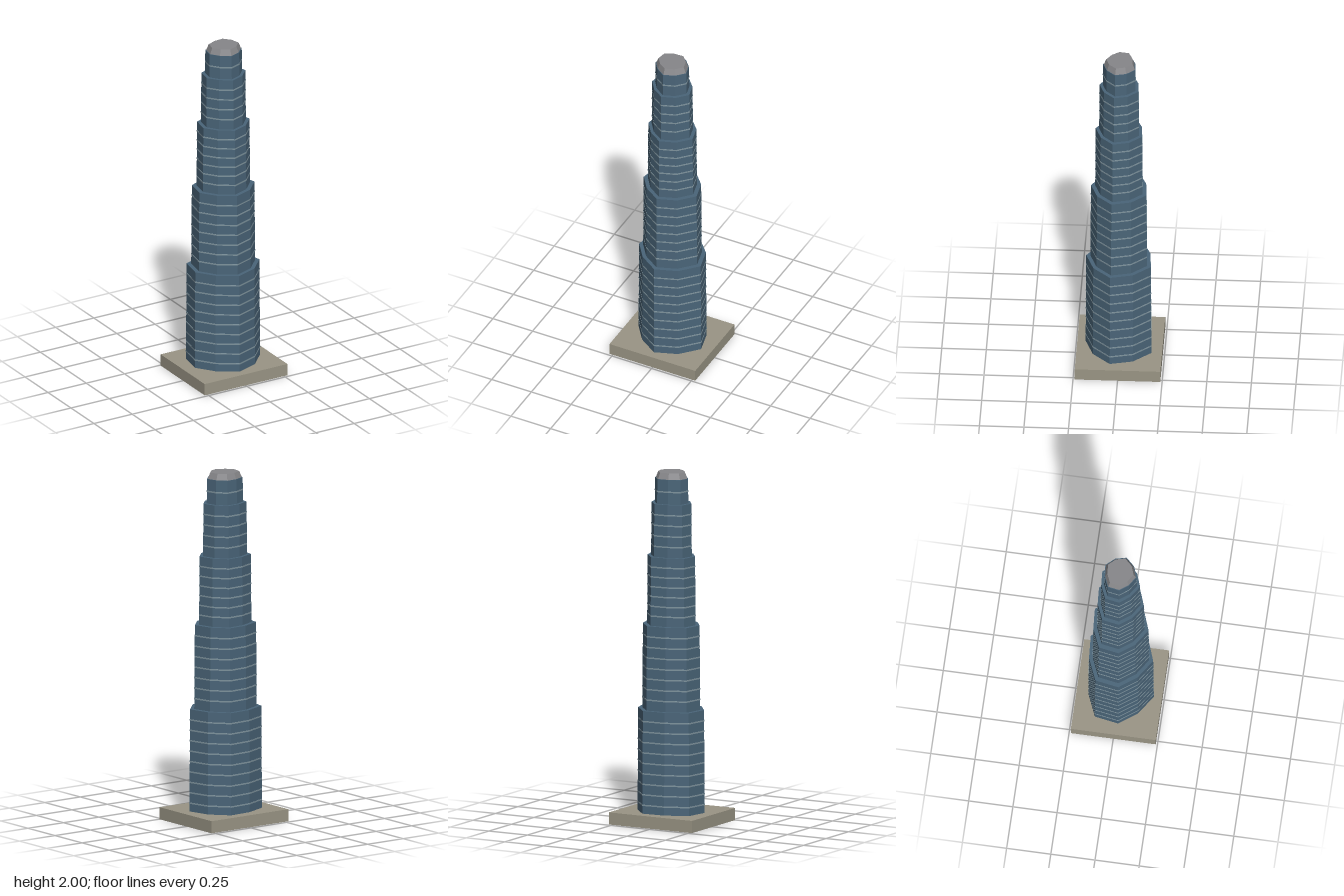
import * as THREE from 'three';

// Irregular nine-sided footprint as [x, z], clockwise seen from above
const FOOTPRINT = [
  [0.087, -0.181], [0.176, -0.082], [0.208, 0.047], [0.114, 0.147], [-0.015, 0.194],
  [-0.127, 0.12], [-0.202, 0.018], [-0.179, -0.117], [-0.05, -0.172],
];

// Closed prism over the footprint, scaled at the bottom and the top
function prism(bottomScale, topScale, y0, y1) {
  const n = FOOTPRINT.length;
  const at = (i, s, y) => [FOOTPRINT[i % n][0] * s, y, FOOTPRINT[i % n][1] * s];
  const p = [];
  for (let i = 0; i < n; i++) {
    const a0 = at(i, bottomScale, y0), b0 = at(i + 1, bottomScale, y0);
    const a1 = at(i, topScale, y1), b1 = at(i + 1, topScale, y1);
    p.push(...a0, ...a1, ...b0, ...b0, ...a1, ...b1); // wall
    p.push(0, y1, 0, ...b1, ...a1); // top cap
    p.push(0, y0, 0, ...a0, ...b0); // bottom cap
  }
  const geometry = new THREE.BufferGeometry();
  geometry.setAttribute('position', new THREE.Float32BufferAttribute(p, 3));
  geometry.computeVertexNormals();
  return geometry;
}

export function createModel() {
  const model = new THREE.Group();
  const paint = (color) => new THREE.MeshStandardMaterial({ color, flatShading: true });
  const glass = paint(0x4a6579), bandPaint = paint(0x7f949e);
  const stone = paint(0x9a9585), crownPaint = paint(0x87878a);

  const add = (parent, name, geometry, material) => {
    const mesh = new THREE.Mesh(geometry, material);
    mesh.name = name;
    parent.add(mesh);
    return mesh;
  };

  // Plinth, a hair above the tower's foot so the foot shows underneath
  add(model, 'plinth', new THREE.BoxGeometry(0.54, 0.069, 0.48), stone).position.y = 0.0365;

  // Stepped tiers: [scale, bottom, top, number of floors]
  const tiers = [
    [1.0, 0, 0.655, 11],
    [0.86, 0.655, 1.135, 8],
    [0.72, 1.135, 1.525, 7],
    [0.605, 1.525, 1.825, 5],
    [0.5, 1.825, 1.965, 2],
  ];
  tiers.forEach(([scale, y0, y1, floors], t) => {
    const tier = new THREE.Group();
    tier.name = `tier${t + 1}`;
    model.add(tier);
    const bottom = scale, top = scale * 0.98;
    add(tier, 'walls', prism(bottom, top, y0, y1), glass);

    // Thin floor bands standing just proud of the walls
    for (let f = 1; f < floors; f++) {
      const k = f / floors;
      const y = y0 + (y1 - y0) * k;
      if (y < 0.08) continue;
      const s = bottom + (top - bottom) * k + 0.008;
      add(tier, 'floorBand', prism(s, s, y - 0.004, y + 0.004), bandPaint);
    }
  });

  // Bevelled crown
  add(model, 'crown', prism(0.47, 0.4, 1.965, 2), crownPaint);
  return model;
}
